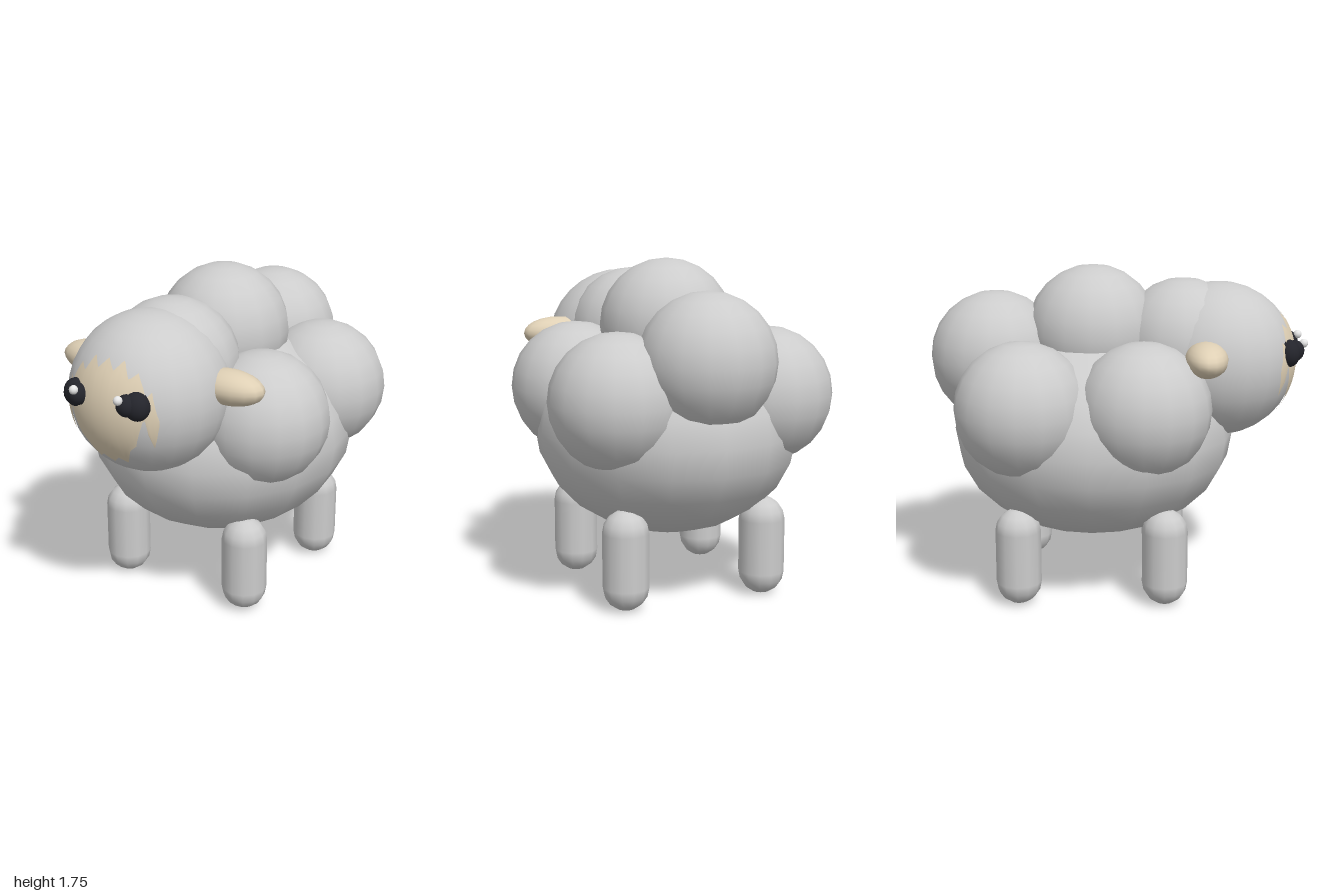
import * as THREE from 'three';

const material = (name, color) => {
  const m = new THREE.MeshStandardMaterial({ color });
  m.name = name;
  return m;
};

export function createModel() {
  const group = new THREE.Group();
  const wool = material('wool grey', 0xcccccc);
  const skin = material('skin cream', 0xdfd0b5);
  const dark = material('eye black', 0x24252c);
  const white = material('glint white', 0xe6e6e6);

  const add = (name, geometry, mat, x, y, z) => {
    const mesh = new THREE.Mesh(geometry, mat);
    mesh.name = name;
    mesh.position.set(x, y, z);
    group.add(mesh);
    return mesh;
  };
  const ball = (name, mat, [x, y, z], [rx, ry, rz], segments = 16, rings = 12) =>
    add(name, new THREE.SphereGeometry(1, segments, rings).scale(rx, ry, rz), mat, x, y, z);

  // Body and the row of wool puffs along the back
  ball('body', wool, [0, 0.855, -0.13], [0.695, 0.555, 0.755]);
  const puff = [0.35, 0.35, 0.35];
  ball('neckPuff', wool, [0, 1.33, 0.35], puff);
  ball('backPuff', wool, [0, 1.4, -0.13], puff);
  ball('rumpPuff', wool, [0, 1.26, -0.65], puff);

  // Head
  const head = new THREE.Vector3(0, 1.25, 0.54);
  const headRadius = 0.41;
  ball('head', wool, head.toArray(), [headRadius, headRadius, headRadius], 20, 16);

  // Face patch: a plate with a ragged edge, laid over the head
  const edge = [ // distance from the middle, lower edge, upper edge
    [0, 0.97, 1.51], [0.045, 1.01, 1.46], [0.085, 0.98, 1.51], [0.13, 1.07, 1.43],
    [0.165, 1.1, 1.46], [0.2, 1.2, 1.4], [0.218, 1.26, 1.35], [0.238, 1.09, 1.38],
    [0.26, 1.15, 1.3], [0.275, 1.22, 1.24],
  ];
  const edgeAt = (d) => {
    const i = Math.min(edge.length - 2, Math.max(0, edge.findIndex((p) => p[0] >= d) - 1));
    const [a, b] = [edge[i], edge[i + 1]];
    const t = Math.min(1, (d - a[0]) / (b[0] - a[0]));
    return [a[1] + (b[1] - a[1]) * t, a[2] + (b[2] - a[2]) * t];
  };
  const face = new THREE.PlaneGeometry(0.5499, 1, 60, 14);
  const pos = face.attributes.position;
  for (let i = 0; i < pos.count; i++) {
    const x = pos.getX(i);
    const [low, high] = edgeAt(Math.abs(x));
    const y = low + (high - low) * (pos.getY(i) + 0.5) - head.y;
    pos.setXYZ(i, x, y, Math.sqrt((headRadius + 0.003) ** 2 - x * x - y * y));
  }
  face.computeVertexNormals();
  add('facePatch', face, skin, head.x, head.y, head.z);

  // Mirrored parts
  for (const [side, s] of [['left', 1], ['right', -1]]) {
    ball(side + 'ShoulderPuff', wool, [0.41 * s, 1.06, 0.14], puff);
    ball(side + 'HipPuff', wool, [0.41 * s, 1.06, -0.48], puff);
    ball(side + 'Ear', skin, [0.41 * s, 1.32, 0.455], [0.195, 0.088, 0.11]);
    ball(side + 'Eye', dark, [0.18 * s, 1.31, 0.895], [0.068, 0.072, 0.06]);
    ball(side + 'Pupil', dark, [0.145 * s, 1.318, 0.93], [0.052, 0.055, 0.05]);
    ball(side + 'EyeGlint', white, [0.132 * s, 1.355, 0.977], [0.023, 0.023, 0.023], 12, 8);
    for (const [end, z] of [['Front', 0.255], ['Back', -0.515]]) {
      const leg = new THREE.CapsuleGeometry(0.12, 0.28, 4, 12);
      add(side + end + 'Leg', leg, wool, 0.383 * s, 0.26, z);
    }
  }
  return group;
}
